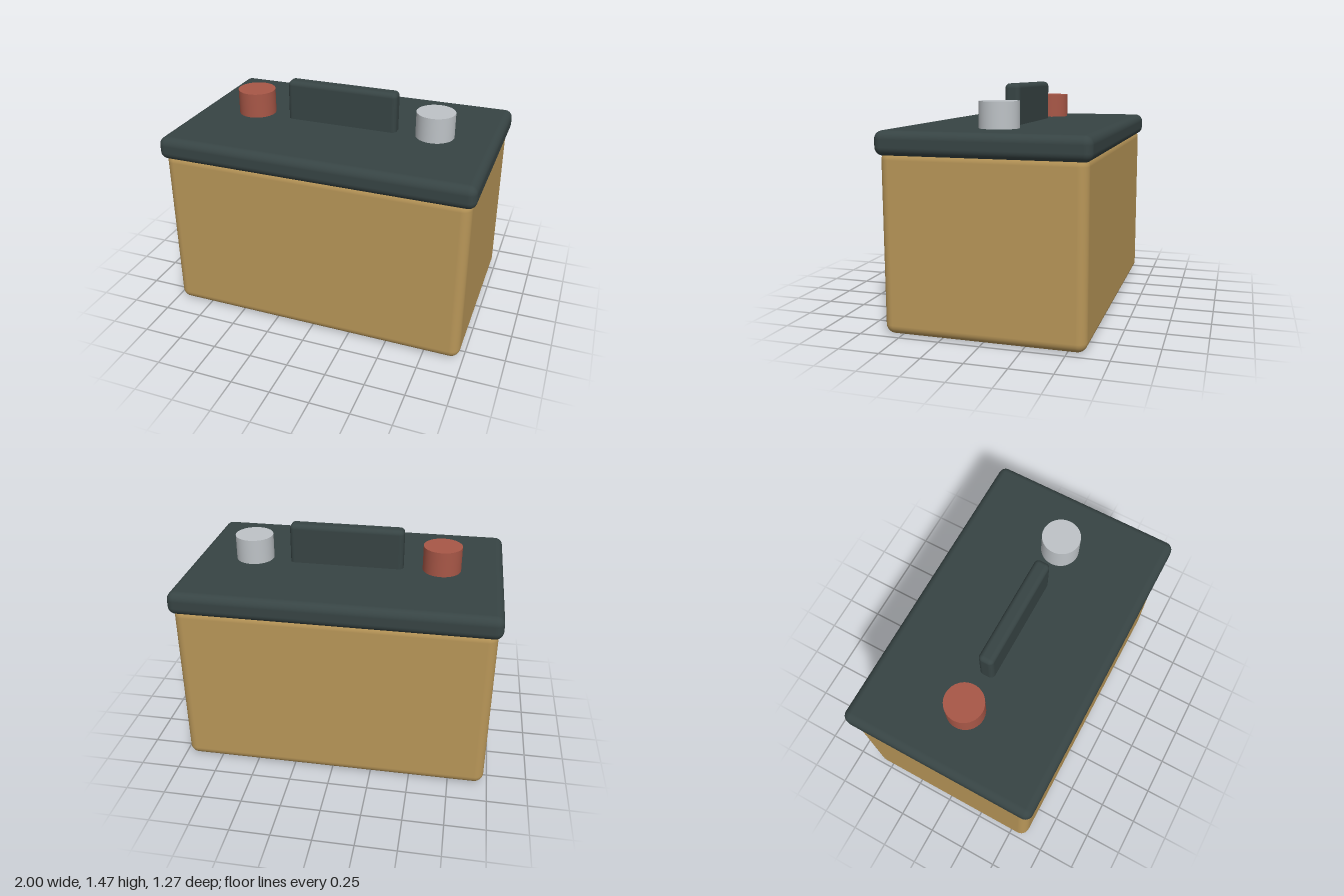
import * as THREE from 'three';
import { RoundedBoxGeometry } from 'three/addons/geometries/RoundedBoxGeometry.js';

const material = (name, color) => {
  const m = new THREE.MeshStandardMaterial({ color });
  m.name = name;
  return m;
};

export function createModel() {
  const group = new THREE.Group();
  group.name = 'battery';
  const tan = material('tan casing', 0xb89658);
  const dark = material('dark slate', 0x374444);
  const red = material('red terminal', 0xa85747);
  const silver = material('silver terminal', 0xbec3c7);

  const add = (name, geometry, mat, x, y) => {
    const mesh = new THREE.Mesh(geometry, mat);
    mesh.name = name;
    mesh.position.set(x, y, 0);
    group.add(mesh);
  };

  // Rounded box spanning y0 to y1
  const box = (name, mat, width, y0, y1, depth, radius) =>
    add(name, new RoundedBoxGeometry(width, y1 - y0, depth, 5, radius), mat, 0, (y0 + y1) / 2);

  box('casing', tan, 1.95, 0, 1.1, 1.22, 0.06);
  box('lid', dark, 2, 1.065, 1.21, 1.27, 0.05);
  box('handle', dark, 0.732, 1.15, 1.466, 0.098, 0.03);

  // Terminal posts, sunk slightly into the lid
  for (const [name, mat, x] of [['rightTerminal', red, -0.61], ['leftTerminal', silver, 0.61]]) {
    add(name, new THREE.CylinderGeometry(0.122, 0.122, 0.22, 40), mat, x, 1.26);
  }
  return group;
}
